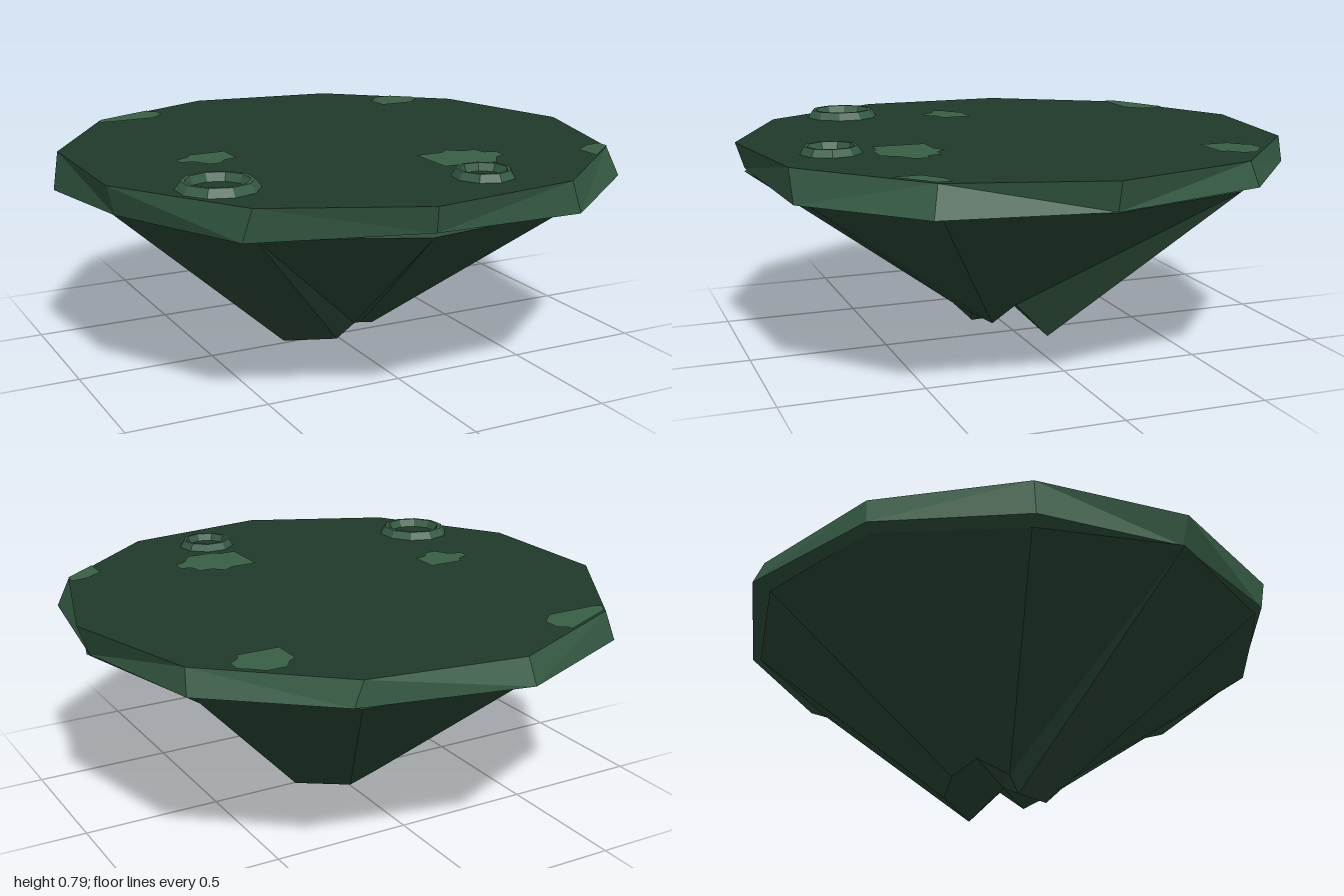
import * as THREE from 'three';

const mat = (name, color, side = THREE.FrontSide) =>
  new THREE.MeshStandardMaterial({ name, color, side, flatShading: true });

const distance = (a, b) => Math.hypot(a[0] - b[0], a[1] - b[1], a[2] - b[2]);

// Faceted solid between two rings of [x, y, z] corners: sides and base, then the top as a second group
function loft(top, bottom, topCentre, bottomCentre) {
  const pos = [], n = top.length;
  for (let i = 0; i < n; i++) {
    const j = (i + 1) % n;
    const [a, b, c, d] = [top[i], top[j], bottom[j], bottom[i]];
    // split each side along its shorter diagonal
    if (distance(a, c) < distance(b, d)) pos.push(...a, ...b, ...c, ...a, ...c, ...d);
    else pos.push(...a, ...b, ...d, ...b, ...c, ...d);
    pos.push(...bottomCentre, ...d, ...c);
  }
  const sideCount = pos.length / 3;
  for (let i = 0; i < n; i++) pos.push(...topCentre, ...top[(i + 1) % n], ...top[i]);
  const g = new THREE.BufferGeometry();
  g.setAttribute('position', new THREE.Float32BufferAttribute(pos, 3));
  g.computeVertexNormals();
  g.addGroup(0, sideCount, 0);
  g.addGroup(sideCount, n * 3, 1);
  return g;
}

// Regular eleven-sided ring
function ring(radius, y) {
  return Array.from({ length: 11 }, (_, i) => {
    const a = (i / 11) * Math.PI * 2;
    return [-0.012 + radius * Math.cos(a), y, 0.015 + radius * Math.sin(a)];
  });
}

export function createModel() {
  const group = new THREE.Group();
  const ground = mat('dark ground', 0x203a2b);
  const edge = mat('slab edge', 0x365c45);
  const rock = mat('rock', 0x2f4e3b, THREE.DoubleSide);
  const moss = mat('light moss', 0x385f45);

  const add = (name, geometry, material) => {
    const m = new THREE.Mesh(geometry, material);
    m.name = name;
    group.add(m);
    return m;
  };

  // Flat slab with an uneven lower rim
  const slabBottom = [
    [0.94, 0.655, 0.01], [0.86, 0.655, 0.575], [0.44, 0.645, 0.91], [-0.14, 0.668, 0.965],
    [-0.68, 0.645, 0.73], [-0.93, 0.655, 0.28], [-0.98, 0.622, -0.265], [-0.7, 0.65, -0.74],
    [-0.16, 0.67, -1.0], [0.43, 0.672, -0.88], [0.83, 0.672, -0.55],
  ];
  add('slab', loft(ring(0.988, 0.76), slabBottom, [0, 0.76, 0], [0, 0.665, 0]), [edge, ground]);

  // Tapering rock underneath, broken off at the tip
  const rockTip = [
    [0.19, 0.16, 0.06], [0.1, 0.07, 0.12], [0.0, 0.12, 0.22], [0.0, 0.1, 0.17],
    [-0.06, 0.04, 0.145], [-0.2, 0.0, -0.02], [-0.22, 0.06, -0.06], [-0.16, 0.13, -0.16],
    [-0.06, 0.09, -0.22], [0.05, 0.05, -0.21], [0.2, 0.03, -0.06],
  ];
  add('rockUnderside', loft(ring(0.96, 0.655), rockTip, [0, 0.655, 0], [0, 0.1, 0]), [rock, rock]);

  // Moss patches: flat outlines as [x, z]
  const patches = [
    [[-0.68, -0.69], [-0.65, -0.73], [-0.43, -0.83], [-0.43, -0.81], [-0.4, -0.79], [-0.4, -0.73], [-0.46, -0.675], [-0.66, -0.675]],
    [[0.49, -0.62], [0.52, -0.64], [0.55, -0.68], [0.62, -0.68], [0.65, -0.65], [0.69, -0.62], [0.69, -0.57], [0.65, -0.54], [0.64, -0.51], [0.49, -0.51]],
    [[-0.64, 0.07], [-0.59, 0.05], [-0.57, 0.015], [-0.44, 0.015], [-0.44, 0.13], [-0.49, 0.14], [-0.52, 0.18], [-0.56, 0.18], [-0.59, 0.13], [-0.64, 0.11]],
    [[0.13, 0.38], [0.23, 0.38], [0.27, 0.35], [0.31, 0.39], [0.36, 0.39], [0.37, 0.44], [0.41, 0.45], [0.41, 0.5], [0.36, 0.53], [0.32, 0.59], [0.22, 0.59], [0.19, 0.57], [0.13, 0.57]],
    [[0.69, 0.56], [0.76, 0.51], [0.82, 0.5], [0.82, 0.55], [0.69, 0.66]],
  ];
  patches.forEach((pts, i) => {
    const shape = new THREE.Shape(pts.map(([x, z]) => new THREE.Vector2(x, -z)));
    const g = new THREE.ShapeGeometry(shape).rotateX(-Math.PI / 2);
    add('mossPatch' + (i + 1), g, moss).position.y = 0.764;
  });

  // Low crater rims
  const crater = (name, x, z, r, height, sides) => {
    const profile = [[r, 0], [r * 0.85, height], [r * 0.75, height], [r * 0.64, 0]]
      .map(([px, py]) => new THREE.Vector2(px, py));
    add(name, new THREE.LatheGeometry(profile, sides), edge).position.set(x, 0.758, z);
  };
  crater('largeCrater', -0.655, 0.485, 0.14, 0.03, 10);
  crater('smallCrater', 0.18, 0.725, 0.108, 0.028, 9);

  return group;
}
